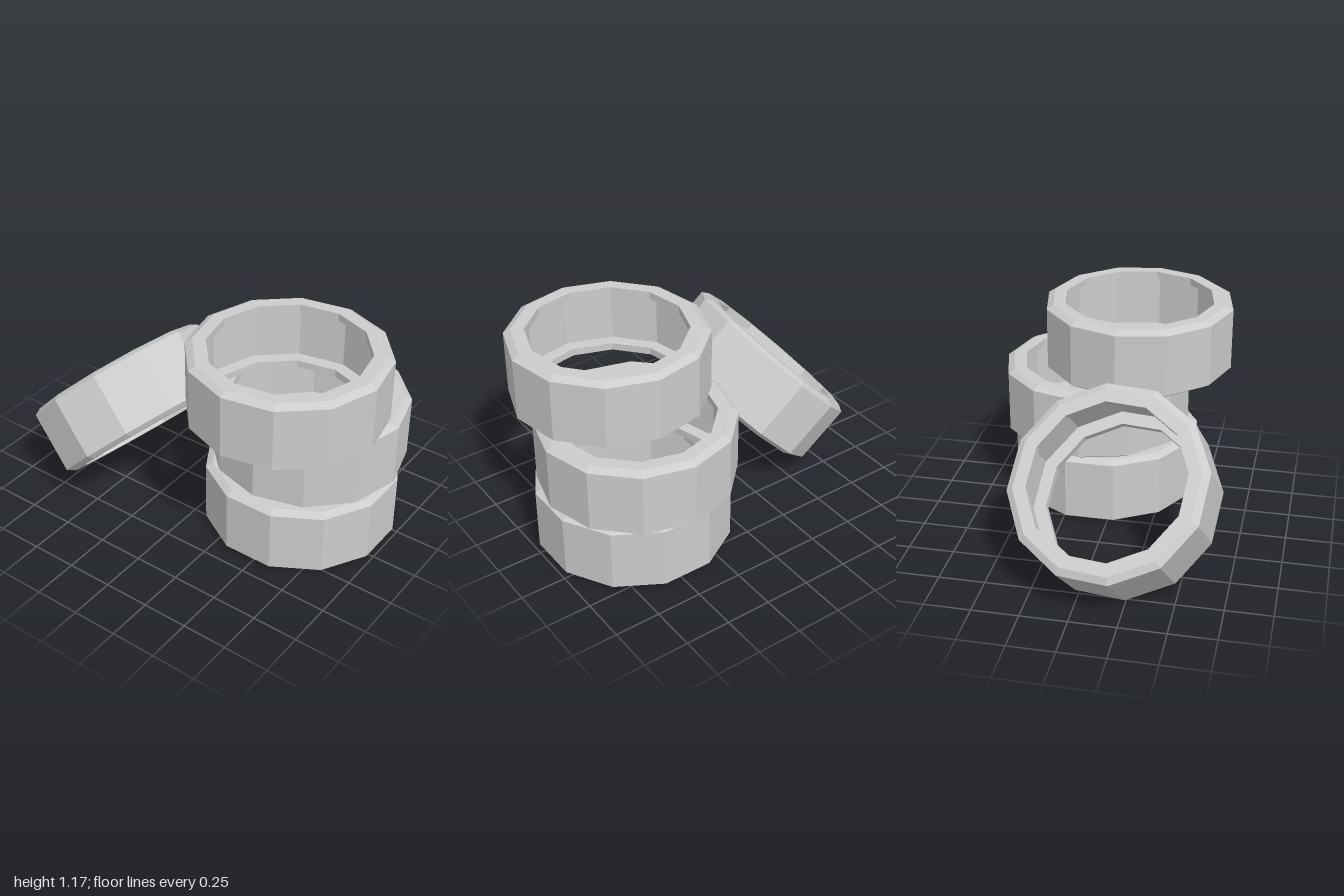
import * as THREE from 'three';

const R = 0.528, H = 0.388; // ring radius and height

// Twelve-sided hollow ring; phase is the angle of its first corner from +x towards +z
function ringGeometry(phase) {
  const h = H / 2;
  const half = [
    [0.49, h - 0.04], // cavity wall behind the lip
    [0.42, h - 0.04], // back of the lip
    [0.42, h],        // inner edge of the lip
    [0.49, h],        // flat rim
    [R, h - 0.023],   // outer bevel
  ];
  const lower = half.map(([r, y]) => new THREE.Vector2(r, -y));
  const upper = half.map(([r, y]) => new THREE.Vector2(r, y)).reverse();
  const profile = [...lower, ...upper, lower[0].clone()];
  return new THREE.LatheGeometry(profile, 12, THREE.MathUtils.degToRad(90 - phase));
}

export function createModel() {
  const model = new THREE.Group();
  model.name = 'tireStack';
  const rubber = new THREE.MeshStandardMaterial({ color: 0xcccccc, flatShading: true });
  rubber.name = 'light grey';

  const addRing = (name, phase, x, y, z) => {
    const mesh = new THREE.Mesh(ringGeometry(phase), rubber);
    mesh.name = name;
    mesh.position.set(x, y, z);
    model.add(mesh);
    return mesh;
  };

  // Stack of three, each shifted and turned a little
  addRing('bottomTire', 15, 0.0975, 0.195, 0.47);
  addRing('middleTire', 0, 0.1525, 0.585, 0.47);
  addRing('topTire', 4, -0.085, 0.973, 0.475);

  // Fourth one leaning on the back of the stack
  const leaning = addRing('leaningTire', 21.3, -0.145, 0.487, -0.512);
  const axis = new THREE.Vector3(0.12, 0.7, -0.7).normalize();
  const side = new THREE.Vector3(1, 0, 0).addScaledVector(axis, -axis.x).normalize();
  const front = new THREE.Vector3().crossVectors(side, axis);
  leaning.quaternion.setFromRotationMatrix(new THREE.Matrix4().makeBasis(side, axis, front));

  return model;
}
